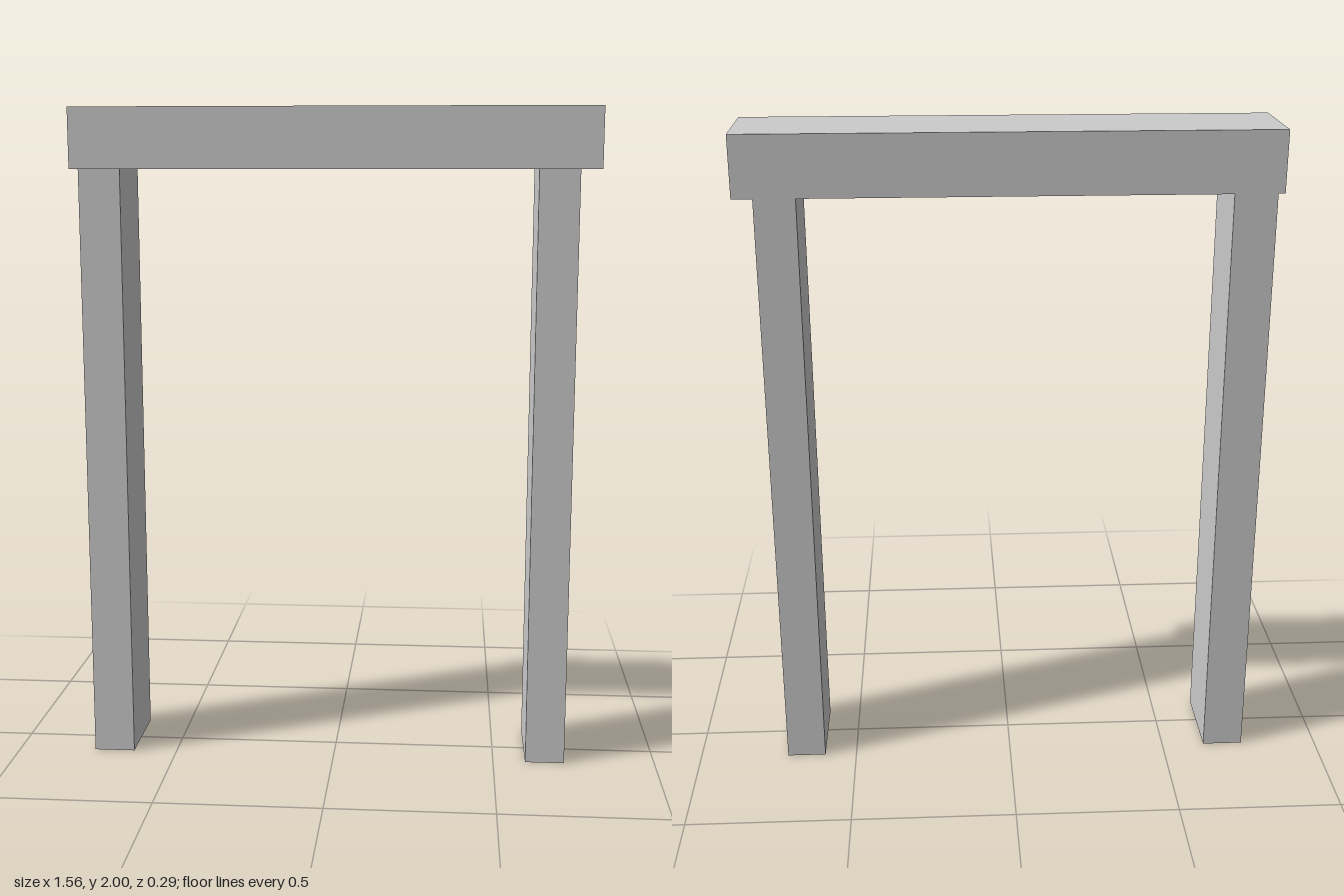
import * as THREE from 'three';

const material = new THREE.MeshStandardMaterial({ color: 0xcccccc, flatShading: true, side: THREE.DoubleSide });
const BEAM = { x: 0.78, z: 0.145, bottom: 1.82, top: 2 };
const POST_FRONT = 0.115;
const POSTS = [
  { name: 'rightPost', x0: -0.76, x1: -0.635 },
  { name: 'leftPost', x0: 0.6, x1: 0.72 },
];

// Box between two corners, leaving out the listed faces (order: +x -x +y -y +z -z)
function openBox(min, max, skip) {
  const size = max.map((v, i) => v - min[i]);
  const geometry = new THREE.BoxGeometry(...size);
  geometry.translate(...max.map((v, i) => (v + min[i]) / 2));
  const index = Array.from(geometry.index.array);
  geometry.setIndex(index.filter((_, i) => !skip.includes(Math.floor(i / 6))));
  geometry.clearGroups();
  return geometry;
}

export function createModel() {
  const group = new THREE.Group();
  const add = (name, geometry) => {
    const mesh = new THREE.Mesh(geometry, material);
    mesh.name = name;
    group.add(mesh);
  };

  // Lintel: top and four sides
  add('lintel', openBox([-BEAM.x, BEAM.bottom, -BEAM.z], [BEAM.x, BEAM.top, BEAM.z], [3]));

  // Underside of the lintel, notched where the hollow posts run into it
  const outline = new THREE.Shape();
  outline.moveTo(-BEAM.x, -BEAM.z);
  for (const { x0, x1 } of POSTS) {
    outline.lineTo(x0, -BEAM.z);
    outline.lineTo(x0, POST_FRONT);
    outline.lineTo(x1, POST_FRONT);
    outline.lineTo(x1, -BEAM.z);
  }
  outline.lineTo(BEAM.x, -BEAM.z);
  outline.lineTo(BEAM.x, BEAM.z);
  outline.lineTo(-BEAM.x, BEAM.z);
  add('lintelUnderside', new THREE.ShapeGeometry(outline).rotateX(Math.PI / 2).translate(0, BEAM.bottom, 0));

  // Hollow posts, open at the foot and flush with the back of the lintel
  for (const { name, x0, x1 } of POSTS) {
    add(name, openBox([x0, 0, -BEAM.z], [x1, BEAM.bottom, POST_FRONT], [2, 3]));
  }
  return group;
}
